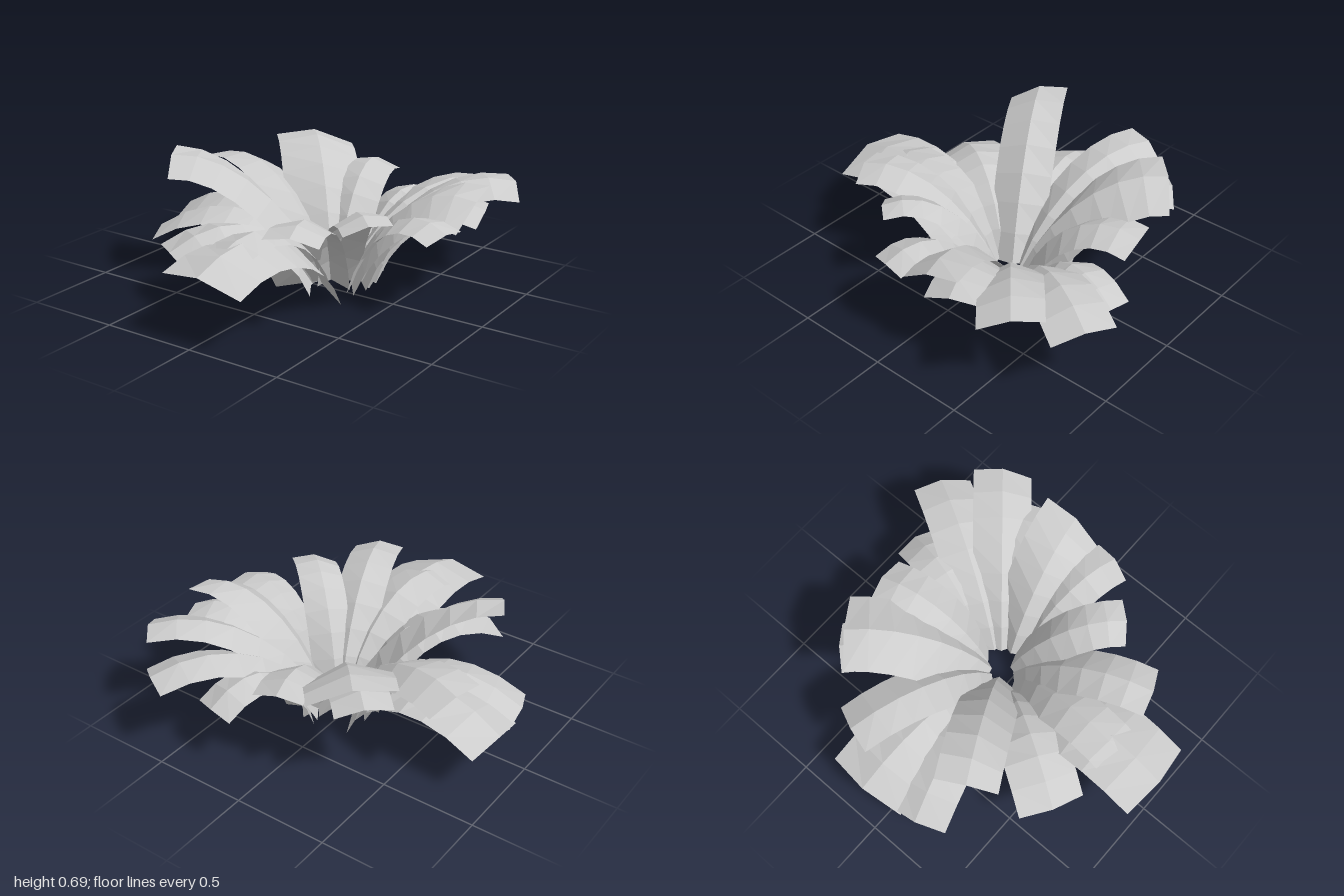
import * as THREE from 'three';

// Each leaf: tip x, y, z, width, base distance from the crown centre, sideways roll
const LEAVES = [
  // tall inner leaves
  [-0.64, 0.68, 0.34, 0.31, 0.05, 0.3],
  [-0.43, 0.63, -0.66, 0.43, 0.05, -0.15],
  [0.36, 0.53, 0.70, 0.27, 0.07, 0.1],
  [0.57, 0.53, 0.36, 0.24, 0.05, -0.2],
  [-0.77, 0.53, -0.31, 0.29, 0.06, -0.28],
  [-0.06, 0.50, -0.76, 0.27, 0.08, -0.1],
  // right and back right leaves
  [0.59, 0.44, -0.93, 0.31, 0.11, -0.15],
  [0.82, 0.53, -0.69, 0.31, 0.10, -0.2],
  [0.84, 0.55, -0.20, 0.36, 0.10, -0.45],
  [0.83, 0.47, -0.33, 0.28, 0.14, -0.2],
  [0.83, 0.46, 0.08, 0.24, 0.15, -0.1],
  // low outer leaves
  [0.06, 0.37, 1.0, 0.45, 0.12, 0.1],
  [0.03, 0.40, 0.82, 0.27, 0.10, 0],
  [-0.38, 0.30, 0.68, 0.35, 0.12, 0.15],
  [-0.87, 0.21, 0.18, 0.32, 0.13, 0],
  [-0.92, 0.25, -0.13, 0.44, 0.12, 0.15],
  [-0.49, 0.54, -0.65, 0.28, 0.10, -0.1],
  [0.28, 0.33, -0.85, 0.25, 0.2, 0],
];
const CENTRE = new THREE.Vector3(0.09, 0, -0.07);
const SEGMENTS = 7;

// An arching strip folded along its raised midrib
function leafGeometry([x, y, z, width, baseRadius, roll]) {
  const tip = new THREE.Vector3(x, y, z);
  const dir = new THREE.Vector3(x - CENTRE.x, 0, z - CENTRE.z);
  const reach = dir.length() - baseRadius;
  dir.normalize();
  const base = CENTRE.clone().addScaledVector(dir, baseRadius).setY(0.05);
  const path = new THREE.CubicBezierCurve3(
    base,
    base.clone().addScaledVector(dir, reach * 0.18).setY(0.39),
    base.clone().addScaledVector(dir, reach * 0.6).setY(0.35 + 0.53 * y),
    tip,
  );
  const flatSide = new THREE.Vector3(-dir.z, 0, dir.x);
  const positions = [];
  const indices = [];
  for (let i = 0; i <= SEGMENTS; i++) {
    const t = i / SEGMENTS;
    const p = path.getPoint(t);
    const up = new THREE.Vector3().crossVectors(flatSide, path.getTangent(t)).normalize();
    // nearly even width; the fold flattens and the twist grows towards the tip
    const half = width * 0.5 * (0.92 + 0.08 * Math.min(1, t * 2));
    const side = flatSide.clone().addScaledVector(up, roll * t);
    const drop = half * (0.55 - 0.3 * t);
    for (const s of [-1, 0, 1]) {
      const v = p.clone().addScaledVector(side, s * half).addScaledVector(up, -Math.abs(s) * drop);
      positions.push(v.x, Math.max(0, v.y), v.z);
    }
    if (i < SEGMENTS) {
      for (let k = 0; k < 2; k++) {
        const a = i * 3 + k;
        indices.push(a, a + 1, a + 3, a + 1, a + 4, a + 3);
      }
    }
  }
  const geometry = new THREE.BufferGeometry();
  geometry.setAttribute('position', new THREE.Float32BufferAttribute(positions, 3));
  geometry.setIndex(indices);
  geometry.computeVertexNormals();
  return geometry;
}

export function createModel() {
  const plant = new THREE.Group();
  plant.name = 'plant';
  const leafGrey = new THREE.MeshStandardMaterial({
    color: 0xcccccc, side: THREE.DoubleSide, flatShading: true,
  });
  leafGrey.name = 'leafGrey';

  // Rosette of leaves
  LEAVES.forEach((spec, i) => {
    const leaf = new THREE.Mesh(leafGeometry(spec), leafGrey);
    leaf.name = `leaf${i + 1}`;
    plant.add(leaf);
  });
  return plant;
}
